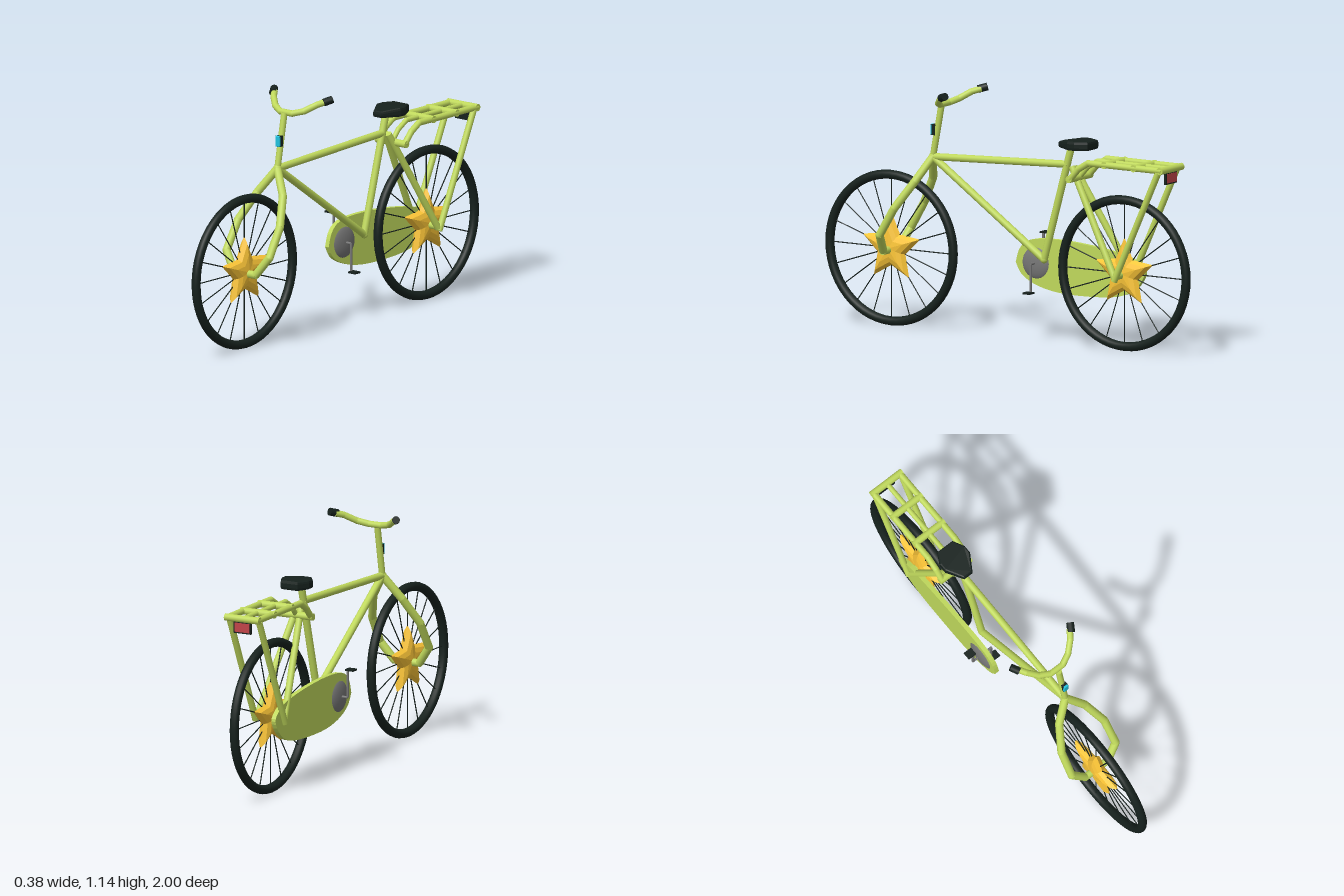
import * as THREE from 'three';
import { RoundedBoxGeometry } from 'three/addons/geometries/RoundedBoxGeometry.js';

const mat = (color, extra = {}) => new THREE.MeshStandardMaterial({ color, ...extra });
const V = (x, y, z) => new THREE.Vector3(x, y, z);

export function createModel() {
  const model = new THREE.Group();
  const bike = new THREE.Group();
  bike.name = 'bicycle';
  bike.position.x = -0.01;
  model.add(bike);

  const green = mat(0xc0d95c);
  const black = mat(0x16211d);
  const gold = mat(0xfcc638, { flatShading: true });
  const grey = mat(0x777777);
  const cyan = mat(0x20c4e0);
  const red = mat(0xc04448);

  function add(parent, name, geometry, material, x = 0, y = 0, z = 0) {
    const mesh = new THREE.Mesh(geometry, material);
    mesh.name = name;
    mesh.position.set(x, y, z);
    parent.add(mesh);
    return mesh;
  }

  // Straight round bar between two points
  function bar(parent, name, a, b, r = 0.017, material = green, sides = 12) {
    const d = b.clone().sub(a);
    const mesh = add(parent, name, new THREE.CylinderGeometry(r, r, d.length(), sides), material);
    mesh.position.copy(a).addScaledVector(d, 0.5);
    mesh.quaternion.setFromUnitVectors(V(0, 1, 0), d.normalize());
    return mesh;
  }

  // Bars through several points, with round joints at the bends
  function bentBar(parent, name, points, r = 0.017) {
    const g = new THREE.Group();
    g.name = name;
    parent.add(g);
    points.forEach((p, i) => {
      if (i > 0) bar(g, name + 'Section', points[i - 1], p, r);
      if (i > 0 && i < points.length - 1)
        add(g, name + 'Joint', new THREE.SphereGeometry(r, 12, 8), green, p.x, p.y, p.z);
    });
    return g;
  }

  // Five-pointed star, domed on both faces by shrinking outlines
  function starGeometry(outer, inner, depth) {
    const pos = [];
    const rings = [1, 0.8, 0.5, 0];
    const pt = (i, s, side) => {
      const a = Math.PI / 2 + (i * Math.PI) / 5;
      const r = s * (i % 2 ? inner : outer);
      return [side * depth * Math.sqrt(1 - s * s), r * Math.sin(a), r * Math.cos(a)];
    };
    for (const side of [1, -1]) {
      for (let k = 0; k < 3; k++) {
        for (let i = 0; i < 10; i++) {
          const [i0, i1] = side > 0 ? [i, i + 1] : [i + 1, i];
          const a = pt(i0, rings[k], side), b = pt(i1, rings[k], side);
          const c = pt(i0, rings[k + 1], side), d = pt(i1, rings[k + 1], side);
          pos.push(...a, ...c, ...b);
          if (k < 2) pos.push(...b, ...c, ...d);
        }
      }
    }
    const g = new THREE.BufferGeometry();
    g.setAttribute('position', new THREE.Float32BufferAttribute(pos, 3));
    g.computeVertexNormals();
    return g;
  }

  // Wheels
  const axleY = 0.362;
  for (const [name, z] of [['frontWheel', 0.64], ['rearWheel', -0.64]]) {
    const wheel = new THREE.Group();
    wheel.name = name;
    wheel.position.set(-0.003, axleY, z);
    bike.add(wheel);
    add(wheel, 'tyre', new THREE.TorusGeometry(0.339, 0.021, 12, 56), black).rotation.y = Math.PI / 2;
    add(wheel, 'starHub', starGeometry(0.165, 0.08, 0.032), gold);
    const spokes = 20;
    for (let i = 0; i < spokes; i++) {
      const a = (i / spokes) * Math.PI * 2;
      const s = Math.sin(a), c = Math.cos(a);
      bar(wheel, 'spoke', V(0, 0.02 * c, 0.02 * s), V(0, 0.33 * c, 0.33 * s), 0.0027, black, 6);
    }
  }

  // Main frame
  const head = V(0, 0.805, 0.41), bottom = V(0, 0.385, -0.2), cluster = V(0, 0.838, -0.335);
  bar(bike, 'topTube', head, cluster);
  bar(bike, 'downTube', head, bottom);
  bar(bike, 'seatTube', bottom, V(0, 0.925, -0.352));
  add(bike, 'headJoint', new THREE.SphereGeometry(0.02, 12, 8), green, 0, 0.805, 0.41);
  add(bike, 'bottomJoint', new THREE.SphereGeometry(0.018, 12, 8), green, 0, 0.385, -0.2);
  bar(bike, 'steeringStem', head, V(0, 1.055, 0.362), 0.015);

  // Fork, stays and axles, mirrored
  for (const s of [1, -1]) {
    bentBar(bike, 'forkBlade', [
      V(0, 0.805, 0.41), V(s * 0.075, 0.695, 0.46), V(s * 0.125, 0.57, 0.54),
      V(s * 0.128, 0.44, 0.618), V(s * 0.065, 0.355, 0.64),
    ], 0.019);
    bar(bike, 'seatStay', V(s * 0.008, 0.83, -0.36), V(s * 0.072, 0.345, -0.637), 0.016);
    bar(bike, 'rackStay', V(s * 0.077, 0.86, -0.88), V(s * 0.077, 0.335, -0.637), 0.015);
  }
  bar(bike, 'frontAxle', V(-0.072, 0.355, 0.64), V(0.072, 0.355, 0.64), 0.018);
  bar(bike, 'rearAxle', V(-0.082, 0.355, -0.637), V(0.082, 0.355, -0.637), 0.017);

  // Handlebar and grips
  const half = [V(0.085, 1.07, 0.325), V(0.13, 1.1, 0.285), V(0.156, 1.113, 0.248)];
  const mirrored = half.map((p) => V(-p.x, p.y, p.z)).reverse();
  bentBar(bike, 'handlebar',
    [...mirrored, V(-0.035, 1.056, 0.348), V(0.035, 1.056, 0.348), ...half], 0.015);
  for (const s of [1, -1])
    bar(bike, 'grip', V(s * 0.152, 1.11, 0.264), V(s * 0.174, 1.122, 0.228), 0.018, black);

  // Headlight
  add(bike, 'headlightBody', new THREE.BoxGeometry(0.026, 0.05, 0.024), black, 0.003, 0.932, 0.401);
  add(bike, 'headlightLens', new RoundedBoxGeometry(0.027, 0.052, 0.012, 2, 0.005), cyan, 0.003, 0.932, 0.41);

  // Saddle: mirrored outline, thinner and lower towards the nose
  const saddleHalf = [[0.02, 0.3], [0.066, 0.375], [0.066, 0.41], [0.04, 0.46]];
  const saddleShape = new THREE.Shape(
    [...saddleHalf, ...saddleHalf.map(([x, y]) => [-x, y]).reverse()]
      .map(([x, y]) => new THREE.Vector2(x, y)));
  const saddleGeometry = new THREE.ExtrudeGeometry(saddleShape, {
    depth: 0.018, bevelEnabled: true, bevelThickness: 0.012, bevelSize: 0.007, bevelSegments: 2,
  });
  const sp = saddleGeometry.attributes.position;
  for (let i = 0; i < sp.count; i++) {
    const nose = THREE.MathUtils.clamp((0.375 - sp.getY(i)) / 0.08, 0, 1);
    if (sp.getZ(i) > 0.009) sp.setZ(i, sp.getZ(i) - 0.012 * nose);
  }
  saddleGeometry.computeVertexNormals();
  add(bike, 'saddle', saddleGeometry, black, -0.003, 0.927, 0).rotation.x = -Math.PI / 2;

  // Luggage rack
  const rack = new THREE.Group();
  rack.name = 'luggageRack';
  bike.add(rack);
  for (const x of [-0.077, 0, 0.077]) {
    bentBar(rack, 'rackRail', [
      V(x, 0.785, -0.395), V(x, 0.835, -0.44), V(x, 0.868, -0.495), V(x, 0.868, -0.9),
    ], x ? 0.015 : 0.012);
  }
  for (const [y, z] of [[0.785, -0.395], [0.868, -0.587], [0.868, -0.75], [0.868, -0.895]])
    bar(rack, 'rackCrossbar', V(-0.09, y, z), V(0.09, y, z), 0.017);

  // Rear reflector
  add(bike, 'reflectorHousing', new THREE.BoxGeometry(0.09, 0.055, 0.012), black, 0, 0.828, -0.896);
  add(bike, 'reflector', new THREE.BoxGeometry(0.078, 0.043, 0.004), red, 0, 0.828, -0.9015);

  // Chain guard, outline given as (-z, y)
  const outline = [
    [0.01, 0.35], [0.035, 0.42], [0.1, 0.462], [0.25, 0.472], [0.45, 0.458], [0.62, 0.43],
    [0.7, 0.39], [0.715, 0.345], [0.65, 0.27], [0.53, 0.233], [0.3, 0.225], [0.15, 0.245], [0.05, 0.29],
  ].map(([x, y]) => new THREE.Vector2(x, y));
  const curve = new THREE.SplineCurve([...outline, outline[0]]);
  const guard = add(bike, 'chainGuard', new THREE.ExtrudeGeometry(
    new THREE.Shape(curve.getPoints(48).slice(0, -1)), { depth: 0.022, bevelEnabled: false }), green, -0.073, 0, 0);
  guard.rotation.y = Math.PI / 2;

  // Chainring and cranks
  const cz = -0.12, cy = 0.355;
  add(bike, 'chainring', new THREE.SphereGeometry(0.08, 28, 16), grey, -0.062, cy, cz).scale.x = 0.32;
  bar(bike, 'crankAxle', V(-0.115, cy, cz), V(-0.01, cy, cz), 0.006, grey);
  for (const [x, s, side] of [[-0.115, 1, -1], [-0.01, -1, 1]]) {
    bar(bike, 'crankArm', V(x, cy, cz), V(x, cy + s * 0.13, cz), 0.006, grey);
    add(bike, 'pedal', new THREE.BoxGeometry(0.042, 0.008, 0.038), black, x + side * 0.018, cy + s * 0.132, cz);
  }

  return model;
}
